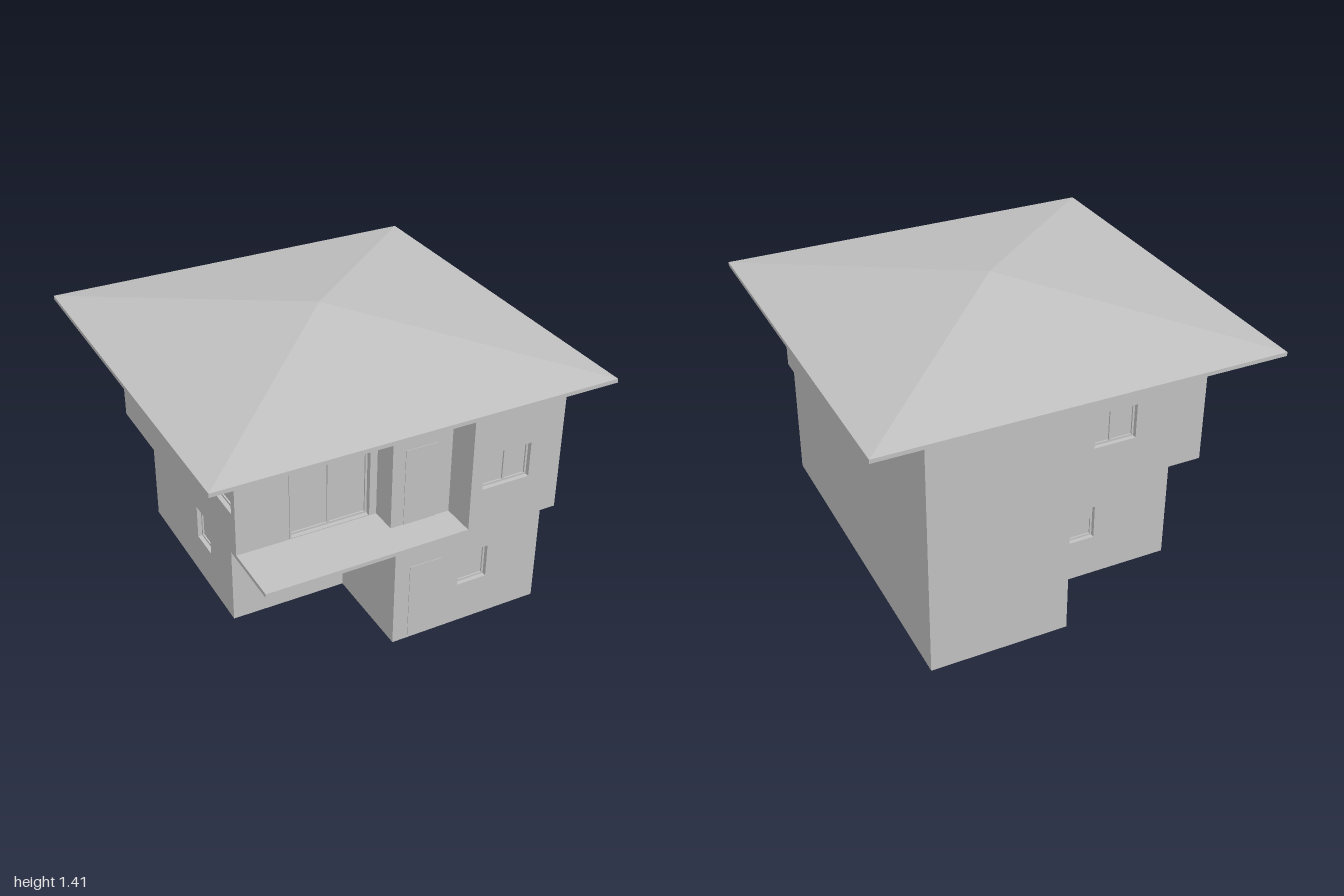
import * as THREE from 'three';

const plaster = new THREE.MeshStandardMaterial({ color: 0xc0c0c0, side: THREE.DoubleSide });
plaster.name = 'plainGrey';

const THICK = 0.04, RECESS = 0.03;

function add(parent, name, geometry, x = 0, y = 0, z = 0) {
  const mesh = new THREE.Mesh(geometry, plaster);
  mesh.name = name;
  mesh.position.set(x, y, z);
  parent.add(mesh);
  return mesh;
}

function box(parent, name, w, h, d, x, y, z) {
  return add(parent, name, new THREE.BoxGeometry(w, h, d), x, y, z);
}

// Horizontal plate with the outline of a storey
function plate(parent, name, outline, y, h) {
  const shape = new THREE.Shape(outline.map(([x, z]) => new THREE.Vector2(x, -z)));
  const geometry = new THREE.ExtrudeGeometry(shape, { depth: h, bevelEnabled: false });
  geometry.rotateX(-Math.PI / 2);
  add(parent, name, geometry, 0, y, 0);
}

// Recessed pane with sash bars, in wall coordinates
function glazing(wall, { u, v, w, h, split }) {
  const cx = u + w / 2, cy = v + h / 2, bar = 0.01, z = -RECESS + 0.004;
  box(wall, 'pane', w, h, 0.008, cx, cy, -RECESS - 0.004);
  for (const s of [-1, 1]) {
    box(wall, 'sashSide', bar, h, 0.008, cx + s * (w - bar) / 2, cy, z);
    box(wall, 'sashRail', w, bar, 0.008, cx, cy + s * (h - bar) / 2, z);
  }
  if (split) box(wall, 'mullion', bar, h, 0.008, cx, cy, z);
}

// Thin raised trim around an opening
function trim(wall, { u, v, w, h }) {
  const t = 0.008;
  for (const s of [-1, 1]) {
    box(wall, 'trimSide', t, h + t, 0.006, u + w / 2 + s * (w + t) / 2, v + h / 2 + t / 2, 0.002);
  }
  box(wall, 'trimTop', w, t, 0.006, u + w / 2, v + h + t / 2, 0.002);
}

// One wall panel per outline edge; openings are listed by edge number
function storey(name, outline, y0, y1, openings) {
  const group = new THREE.Group();
  group.name = name;
  outline.forEach(([x, z], i) => {
    const [x2, z2] = outline[(i + 1) % outline.length];
    const length = Math.hypot(x2 - x, z2 - z), height = y1 - y0;
    const wall = new THREE.Group();
    wall.name = 'wall' + (i + 1);
    wall.position.set(x, y0, z);
    wall.rotation.y = Math.atan2(z - z2, x2 - x);

    const shape = new THREE.Shape([
      new THREE.Vector2(0, 0), new THREE.Vector2(length, 0),
      new THREE.Vector2(length, height), new THREE.Vector2(0, height),
    ]);
    for (const o of openings[i] || []) {
      if (o.door) {
        box(wall, 'door', o.w, o.h, 0.008, o.u + o.w / 2, o.v + o.h / 2, -0.001);
        continue;
      }
      shape.holes.push(new THREE.Path([
        new THREE.Vector2(o.u, o.v), new THREE.Vector2(o.u, o.v + o.h),
        new THREE.Vector2(o.u + o.w, o.v + o.h), new THREE.Vector2(o.u + o.w, o.v),
      ]));
      glazing(wall, o);
      if (o.trim) trim(wall, o);
    }
    const geometry = new THREE.ExtrudeGeometry(shape, { depth: THICK, bevelEnabled: false });
    add(wall, 'wallPanel', geometry, 0, 0, -THICK);
    group.add(wall);
  });
  plate(group, 'floor', outline, y0, 0.02);
  plate(group, 'ceiling', outline, y1 - 0.02, 0.02);
  return group;
}

export function createModel() {
  const house = new THREE.Group();
  house.name = 'house';

  // Outlines run along the front from -x to +x, then around the back
  const lower = [
    [-0.65, 0.355], [-0.05, 0.355], [-0.05, 0.86], [0.75, 0.86],
    [0.75, -0.96], [0.06, -0.96], [0.06, -0.66], [-0.65, -0.66],
  ];
  const upper = [
    [-0.75, 0.655], [-0.04, 0.655], [-0.04, 0.79], [0.27, 0.79], [0.27, 0.96], [0.75, 0.96],
    [0.75, -0.96], [-0.045, -0.96], [-0.045, -0.765], [-0.75, -0.765],
  ];
  const pane = (u, w, split) => ({ u, v: 0.22, w, h: 0.18, split });

  house.add(storey('lowerStorey', lower, 0, 0.6, {
    0: [pane(0.21, 0.24, true)],
    2: [pane(0.35, 0.16), { door: true, u: 0.08, v: 0.02, w: 0.17, h: 0.4 }],
    6: [pane(0.14, 0.165)],
    7: [pane(0.59, 0.165)],
  }));
  house.add(storey('upperStorey', upper, 0.6, 1.22, {
    0: [{ u: 0.27, v: 0.025, w: 0.4, h: 0.39, split: true, trim: true }],
    2: [{ door: true, u: 0.066, v: 0.02, w: 0.17, h: 0.4 }],
    4: [pane(0.06, 0.25, true)],
    8: [pane(0.085, 0.25, true)],
    9: [pane(0.29, 0.17), pane(0.69, 0.17), pane(1.215, 0.17)],
  }));

  // Balcony slab in front of the set-back upper wall
  box(house, 'balcony', 1.02, 0.02, 0.32, -0.24, 0.61, 0.8);

  // Hollow pyramid roof: top skin, soffit and fascia
  const roof = new THREE.Group();
  roof.name = 'roof';
  const R = Math.SQRT2, rise = 0.175;
  const skin = () => new THREE.ConeGeometry(R, rise, 4, 1, true).rotateY(Math.PI / 4).toNonIndexed();
  const fascia = new THREE.CylinderGeometry(R, R, 0.02, 4, 1, true).rotateY(Math.PI / 4).toNonIndexed();
  for (const [name, geometry, y] of [
    ['roofTop', skin(), 1.24 + rise / 2],
    ['soffit', skin(), 1.22 + rise / 2],
    ['fascia', fascia, 1.23],
  ]) {
    geometry.computeVertexNormals();
    add(roof, name, geometry, 0, y, 0);
  }
  house.add(roof);

  return house;
}
